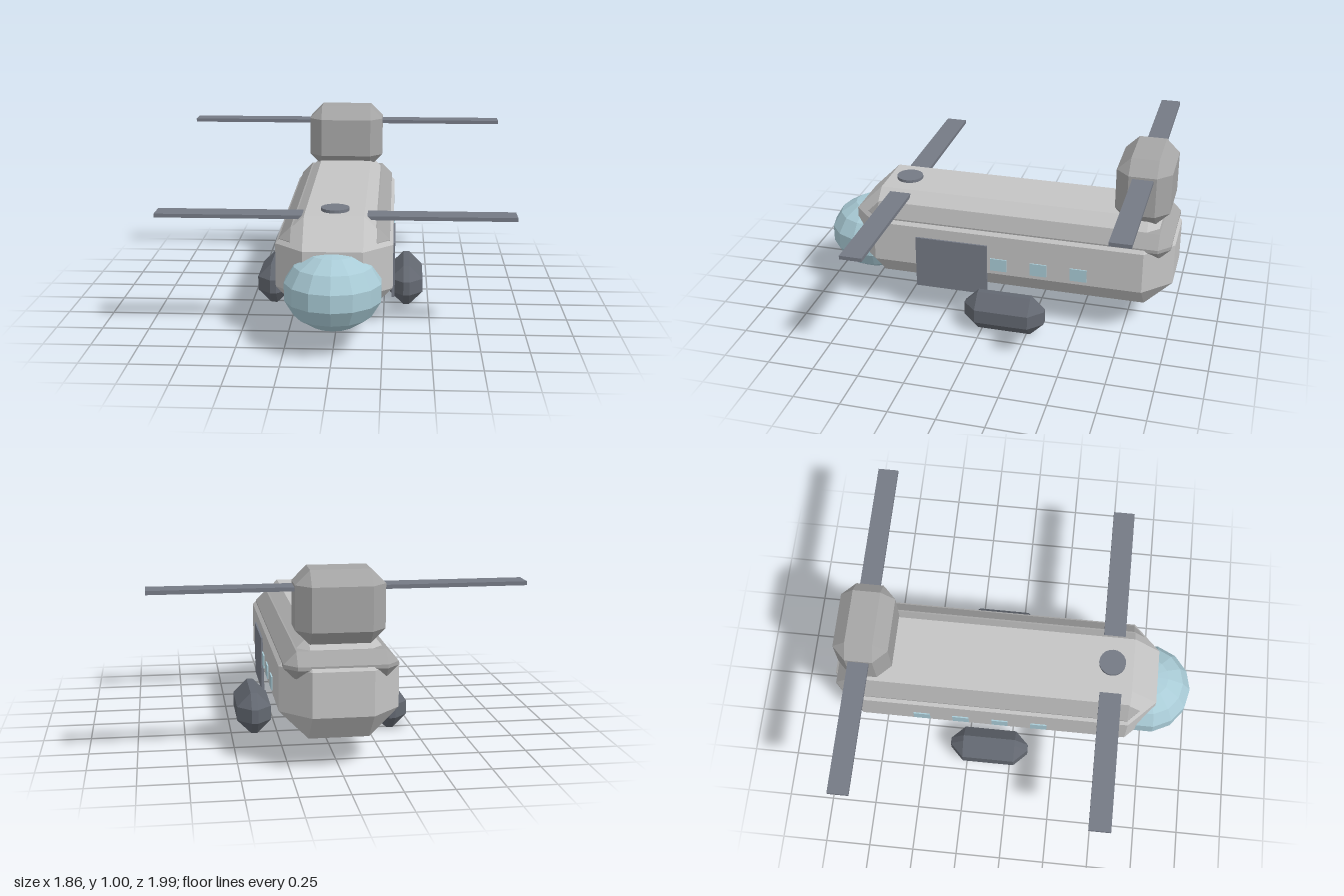
import * as THREE from 'three';
import { ConvexGeometry } from 'three/addons/geometries/ConvexGeometry.js';

const mat = (name, color) => {
  const m = new THREE.MeshStandardMaterial({ color });
  m.name = name;
  m.flatShading = true;
  return m;
};

// Box with every edge cut at 45 degrees by c, given as min/max corners
function chamferBox(min, max, c) {
  const mid = min.map((v, i) => (v + max[i]) / 2);
  const half = min.map((v, i) => (max[i] - v) / 2);
  const points = [];
  for (let axis = 0; axis < 3; axis++)
    for (const sx of [-1, 1]) for (const sy of [-1, 1]) for (const sz of [-1, 1]) {
      const p = [sx, sy, sz].map((s, i) => mid[i] + s * (half[i] - (i === axis ? 0 : c)));
      points.push(new THREE.Vector3(...p));
    }
  return new ConvexGeometry(points);
}

function box(min, max) {
  const g = new THREE.BoxGeometry(...min.map((v, i) => max[i] - v));
  g.translate(...min.map((v, i) => (v + max[i]) / 2));
  return g;
}

export function createModel() {
  const group = new THREE.Group();
  group.name = 'tandemRotorHelicopter';

  const hull = mat('hullGrey', 0xc4c4c4);
  const trim = mat('pylonGrey', 0xa6a6a6);
  const steel = mat('rotorGrey', 0x757a85);
  const dark = mat('podGrey', 0x636871);
  const glass = mat('glassBlue', 0xa9cbd6);

  const add = (name, geometry, material) => {
    const mesh = new THREE.Mesh(geometry, material);
    mesh.name = name;
    group.add(mesh);
    return mesh;
  };

  // Fuselage, shoulder rail and rear pylon
  add('fuselage', chamferBox([-0.3, 0.15, -1], [0.3, 0.675, 0.79], 0.148), hull);
  add('shoulderRail', chamferBox([-0.283, 0.47, -0.985], [0.283, 0.615, 0.7], 0.063), trim);
  add('rearPylon', chamferBox([-0.222, 0.637, -0.96], [0.222, 1.005, -0.667], 0.073), trim);

  // Bubble nose
  const nose = new THREE.SphereGeometry(1, 14, 7);
  nose.rotateY(Math.PI / 14);
  nose.scale(0.256, 0.206, 0.256);
  add('cockpitBubble', nose, glass).position.set(0, 0.32, 0.741);

  // Front rotor hub
  add('frontRotorHub', new THREE.CylinderGeometry(0.073, 0.073, 0.04, 20), steel)
    .position.set(0, 0.671, 0.525);

  for (const side of [-1, 1]) {
    const label = side > 0 ? 'left' : 'right';
    // Mirrors an x range to the current side
    const span = (a, b) => (side > 0 ? [a, b] : [-b, -a]);

    // Rotor blades
    const [b0, b1] = span(0.165, 0.93);
    add(label + 'FrontBlade', box([b0, 0.64, 0.468], [b1, 0.66, 0.587]), steel);
    add(label + 'RearBlade', box([b0, 0.9, -0.87], [b1, 0.92, -0.76]), steel);

    // Side pod
    const [p0, p1] = span(0.283, 0.467);
    add(label + 'Pod', chamferBox([p0, 0, -0.345], [p1, 0.226, 0.1], 0.075), dark);

    // Windows
    const [w0, w1] = span(0.298, 0.307);
    const centres = side > 0 ? [-0.51, -0.29, -0.068] : [-0.51, -0.29, -0.068, 0.152];
    centres.forEach((z, i) => {
      add(label + 'Window' + (i + 1), box([w0, 0.32, z - 0.046], [w1, 0.392, z + 0.046]), glass);
    });
  }

  // Sliding door
  add('slidingDoor', box([0.294, 0.168, -0.005], [0.31, 0.467, 0.4]), steel);

  return group;
}
